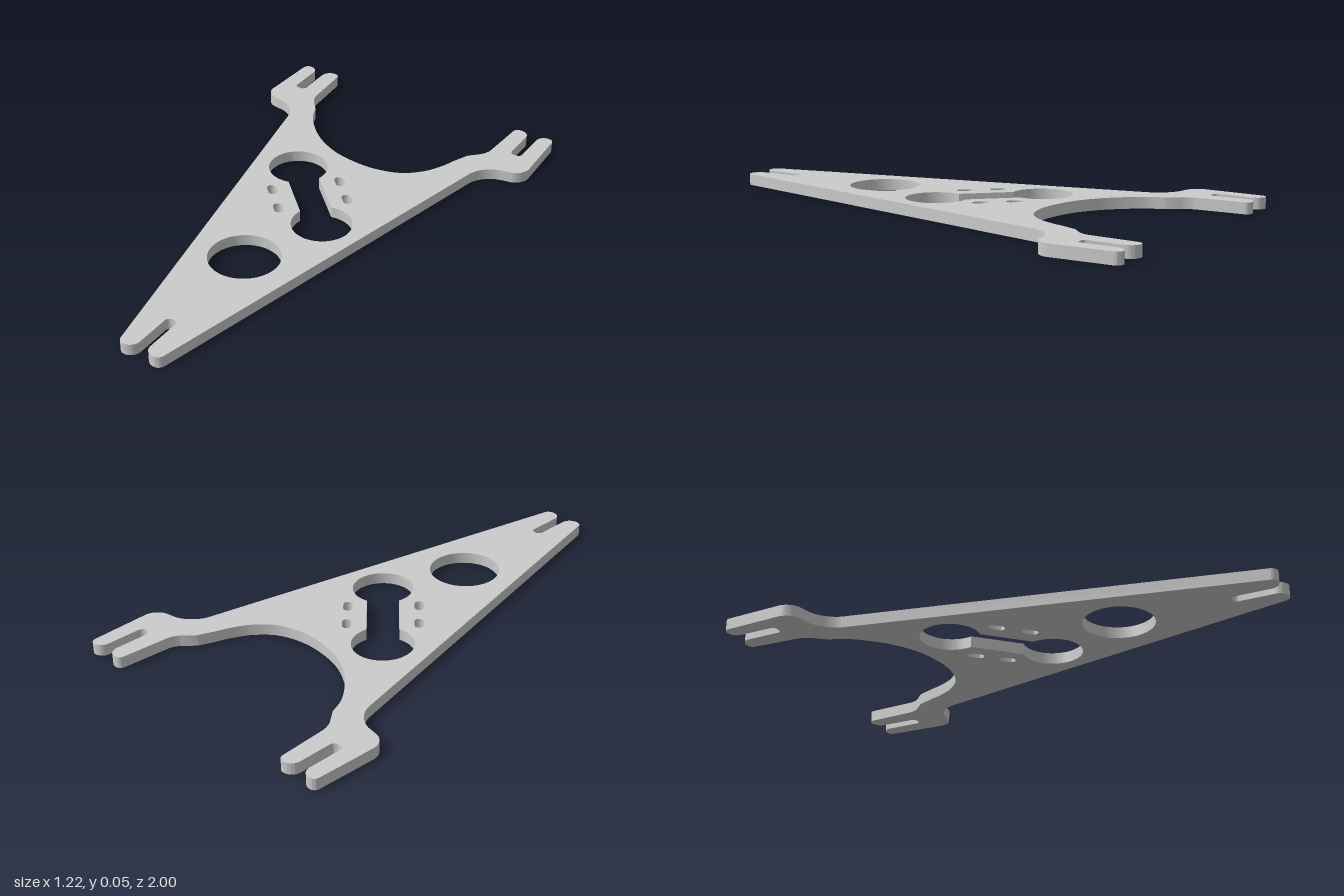
import * as THREE from 'three';
import { toCreasedNormals } from 'three/addons/utils/BufferGeometryUtils.js';

const THICKNESS = 0.045;

// Closed shape from [x, y, cornerSize] points; corners are rounded when a size is given.
function roundedShape(points) {
  const shape = new THREE.Shape();
  const n = points.length;
  points.forEach(([x, y, r = 0], i) => {
    const p = new THREE.Vector2(x, y);
    const toward = (q, d) => new THREE.Vector2(q[0], q[1]).sub(p).setLength(d).add(p);
    const prev = points[(i + n - 1) % n], next = points[(i + 1) % n];
    const a = r ? toward(prev, r) : p;
    if (i === 0) shape.moveTo(a.x, a.y);
    else shape.lineTo(a.x, a.y);
    if (r) {
      const b = toward(next, r), c = toward(prev, r * 0.45), d = toward(next, r * 0.45);
      shape.bezierCurveTo(c.x, c.y, d.x, d.y, b.x, b.y);
    }
  });
  shape.closePath();
  return shape;
}

function circleHole(x, y, r) {
  return new THREE.Path().absarc(x, y, r, 0, Math.PI * 2, false);
}

// Two round openings joined by a diagonal channel
function dumbbellHole() {
  const r = 0.117, t = 0.235, P = Math.PI;
  const path = new THREE.Path();
  path.absarc(-0.172, 0.262, r, -t, 1.5 * P + t, false);
  path.absarc(0.12, -0.03, r, P - t, 2.5 * P + t, false);
  path.closePath();
  return path;
}

// Short screw slot lying along the channel's diagonal
function screwSlot(x, y) {
  const r = 0.018, d = 0.01, P = Math.PI;
  const path = new THREE.Path();
  path.absarc(x + d, y - d, r, -0.75 * P, 0.25 * P, false);
  path.absarc(x - d, y + d, r, 0.25 * P, 1.25 * P, false);
  path.closePath();
  return path;
}

export function createModel() {
  // Half outline: front slot and prong, long side, forked rear foot
  const half = [
    [0.022, -0.805, 0.018], [0.022, -1, 0.04], [0.087, -1, 0.022],
    [0.445, 0.662, 0.08], [0.614, 0.69, 0.055],
    [0.602, 1, 0.022], [0.541, 1, 0.037],
    [0.541, 0.81, 0.018], [0.495, 0.81, 0.018],
    [0.495, 1, 0.04], [0.43, 1, 0.022], [0.417, 0.762, 0.03],
  ];
  const mirrored = half.map(([x, y, r]) => [-x, y, r]).reverse();

  // Slightly lopsided rear bay between the feet
  const bay = new THREE.SplineCurve([
    [0.358, 0.702], [0.33, 0.635], [0.31, 0.58], [0.267, 0.505], [0.19, 0.44],
    [0.066, 0.412], [-0.077, 0.43], [-0.18, 0.475], [-0.26, 0.537],
    [-0.33, 0.62], [-0.36, 0.69],
  ].map(([x, y]) => new THREE.Vector2(x, y))).getPoints(60).map((p) => [p.x, p.y]);

  const plate = roundedShape([...half, ...bay, ...mirrored]);
  plate.holes.push(
    dumbbellHole(),
    circleHole(-0.005, -0.363, 0.137),
    screwSlot(0.024, 0.257), screwSlot(0.114, 0.164),
    screwSlot(-0.167, 0.066), screwSlot(-0.077, -0.029),
  );

  // Lay the plate flat with the narrow end to the front
  const geometry = new THREE.ExtrudeGeometry(plate, {
    depth: THICKNESS, bevelEnabled: false, curveSegments: 32,
  });
  geometry.rotateX(-Math.PI / 2);

  const mesh = new THREE.Mesh(
    toCreasedNormals(geometry, 0.5),
    new THREE.MeshStandardMaterial({ color: 0xcccccc }),
  );
  mesh.name = 'mountingPlate';

  const group = new THREE.Group();
  group.name = 'slottedBracket';
  group.add(mesh);
  return group;
}
